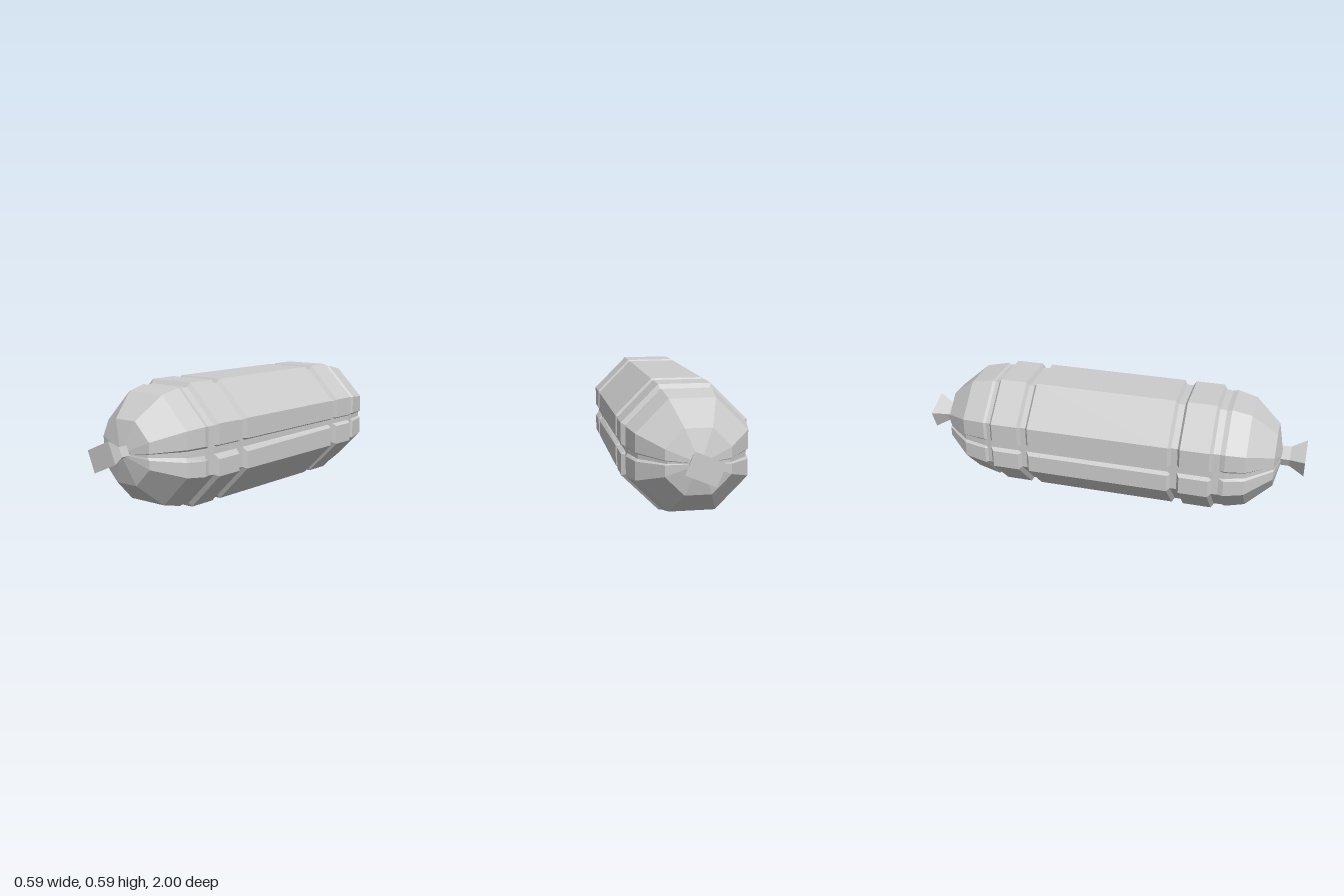
import * as THREE from 'three';

const CENTRE_Y = 0.295;
const TILT = THREE.MathUtils.degToRad(22.8);
const material = new THREE.MeshStandardMaterial({ color: 0xcccccc, flatShading: true });

// Body rings from front to back: z, octagon apothem, side groove depth, side groove width factor
const RINGS = [
  [0.855, 0.147, 0.01, 0.45], [0.727, 0.255, 0.012, 0.85],
  [0.63, 0.277, 0.008, 1], [0.605, 0.271, 0, 1], [0.572, 0.275, 0, 1],
  [0.557, 0.295, 0.02, 1], [0.413, 0.295, 0.02, 1], [0.4, 0.275, 0, 1],
  [0.368, 0.275, 0, 1], [0.353, 0.295, 0.02, 1],
  [-0.367, 0.295, 0.02, 1], [-0.382, 0.275, 0, 1], [-0.41, 0.275, 0, 1],
  [-0.423, 0.295, 0.02, 1], [-0.56, 0.295, 0.02, 1], [-0.575, 0.275, 0, 1],
  [-0.597, 0.271, 0, 1], [-0.61, 0.28, 0.01, 1],
  [-0.73, 0.255, 0.012, 0.85], [-0.86, 0.147, 0.01, 0.45],
];

// Octagon with a notch in its left and right faces, counter-clockwise
function section([z, r, depth, w]) {
  const t = r * Math.tan(Math.PI / 8);
  const f = r - depth;
  const back = THREE.MathUtils.clamp((0.5 - z) / 1, 0, 1); // the left groove slants along the body
  return [
    [r, -t], [r, w * (-0.042 + 0.02 * back)], [f, w * (-0.018 + 0.009 * back)],
    [f, w * 0.015], [r, w * 0.025], [r, t],
    [t, r], [-t, r],
    [-r, t], [-r, w * 0.024], [-f, w * 0.013], [-f, w * -0.02], [-r, w * -0.033], [-r, -t],
    [-t, -r], [t, -r],
  ].map(([x, y]) => [x, y, z]);
}

function flat(geometry) {
  const g = geometry.index ? geometry.toNonIndexed() : geometry;
  g.computeVertexNormals();
  return g;
}

// Skin the rings and close both rounded ends with shallow cones
function bodyGeometry() {
  const loops = RINGS.map(section);
  const n = loops[0].length;
  const last = loops.length - 1;
  const positions = [...loops.flat(2), 0, 0, 0.89, 0, 0, -0.9];
  const frontTip = loops.length * n;
  const index = [];
  for (let j = 0; j < n; j++) {
    const k = (j + 1) % n;
    for (let i = 0; i < last; i++) {
      const a = i * n + j, b = i * n + k;
      index.push(a, a + n, b, b, a + n, b + n);
    }
    index.push(frontTip, j, k, frontTip + 1, last * n + k, last * n + j);
  }
  const g = new THREE.BufferGeometry();
  g.setAttribute('position', new THREE.Float32BufferAttribute(positions, 3));
  g.setIndex(index);
  return flat(g);
}

// Twisted end: a straight rectangular neck that flares to a tilted rectangle
function endGeometry(isBack) {
  const g = new THREE.BoxGeometry(2, 2, 2, 1, 1, 2);
  const p = g.attributes.position;
  for (let i = 0; i < p.count; i++) {
    const s = Math.round(p.getZ(i)); // -1 root, 0 neck, 1 tip
    const [w, h, z] = s > 0 ? [0.0735, 0.0535, 1] : [0.043, 0.024, s < 0 ? 0.86 : 0.925];
    p.setXYZ(i, p.getX(i) * w, p.getY(i) * h, z);
  }
  if (isBack) g.rotateX(Math.PI);
  g.rotateZ(TILT);
  return flat(g);
}

export function createModel() {
  const group = new THREE.Group();
  group.name = 'sausage';
  const add = (name, geometry) => {
    const mesh = new THREE.Mesh(geometry, material);
    mesh.name = name;
    mesh.position.y = CENTRE_Y;
    group.add(mesh);
  };
  add('body', bodyGeometry());
  add('frontEnd', endGeometry(false));
  add('backEnd', endGeometry(true));
  return group;
}
